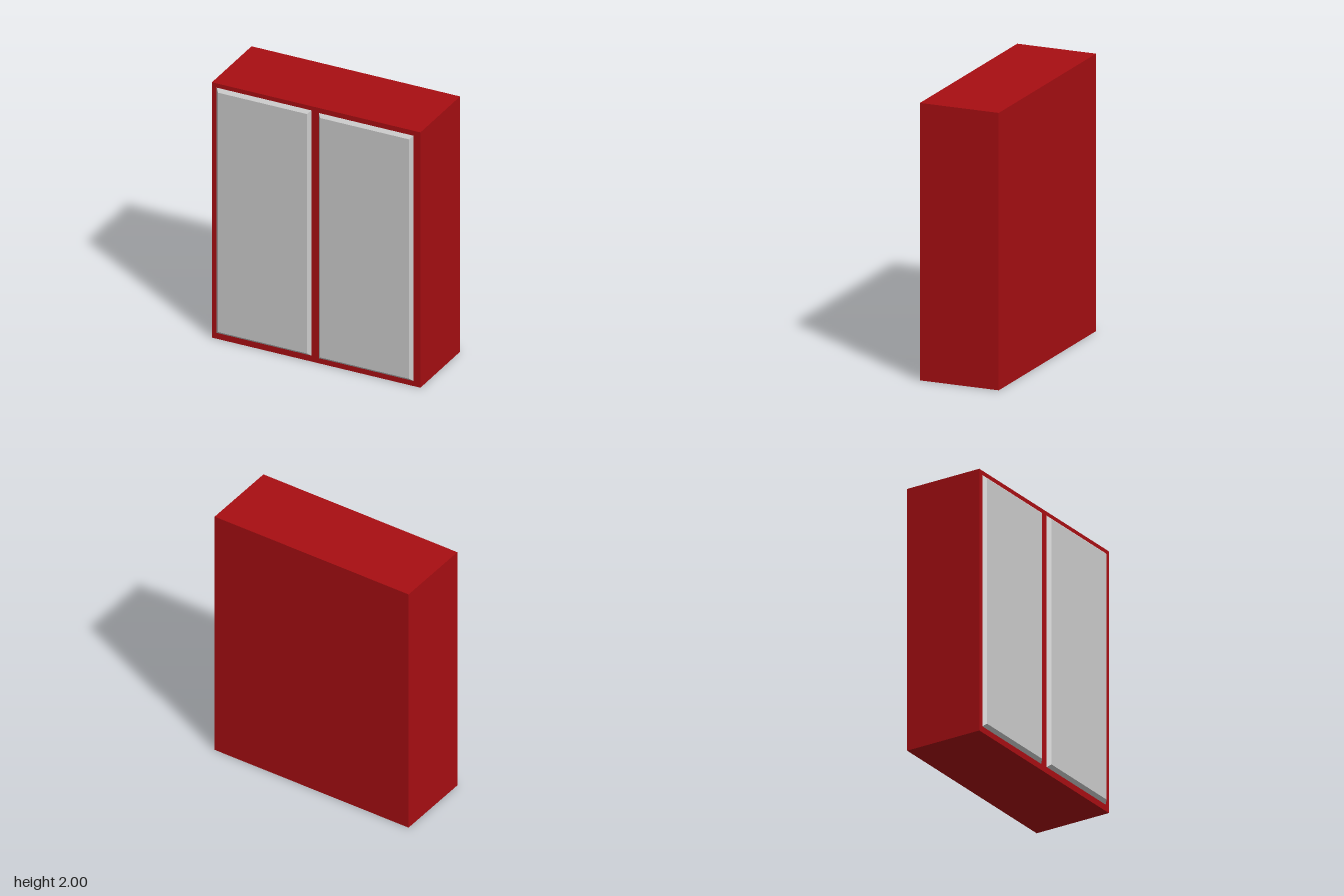
import * as THREE from 'three';

const red = new THREE.MeshStandardMaterial({ color: 0xa80e12 });
const grey = new THREE.MeshStandardMaterial({ color: 0xcccccc });

// Door panel whose front face is inset on all sides to form a bevel
function bevelledPanel(width, height, depth, bevel) {
  const geometry = new THREE.BoxGeometry(width, height, depth);
  const p = geometry.attributes.position;
  for (let i = 0; i < p.count; i++) {
    if (p.getZ(i) > 0) {
      p.setX(i, p.getX(i) - Math.sign(p.getX(i)) * bevel);
      p.setY(i, p.getY(i) - Math.sign(p.getY(i)) * bevel);
    }
  }
  geometry.computeVertexNormals();
  return geometry;
}

export function createModel() {
  const group = new THREE.Group();

  // Cabinet body
  const body = new THREE.Mesh(new THREE.BoxGeometry(1.624, 2, 0.6), red);
  body.name = 'cabinetBody';
  body.position.set(0, 1, -0.015);
  group.add(body);

  // Two sliding doors, the left one standing slightly further forward
  const doorGeometry = bevelledPanel(0.738, 1.921, 0.024, 0.023);
  const doors = [
    ['rightDoor', -0.406, 1.0065, 0.297],
    ['leftDoor', 0.393, 1.004, 0.303],
  ];
  for (const [name, x, y, z] of doors) {
    const door = new THREE.Mesh(doorGeometry, grey);
    door.name = name;
    door.position.set(x, y, z);
    group.add(door);
  }

  return group;
}
